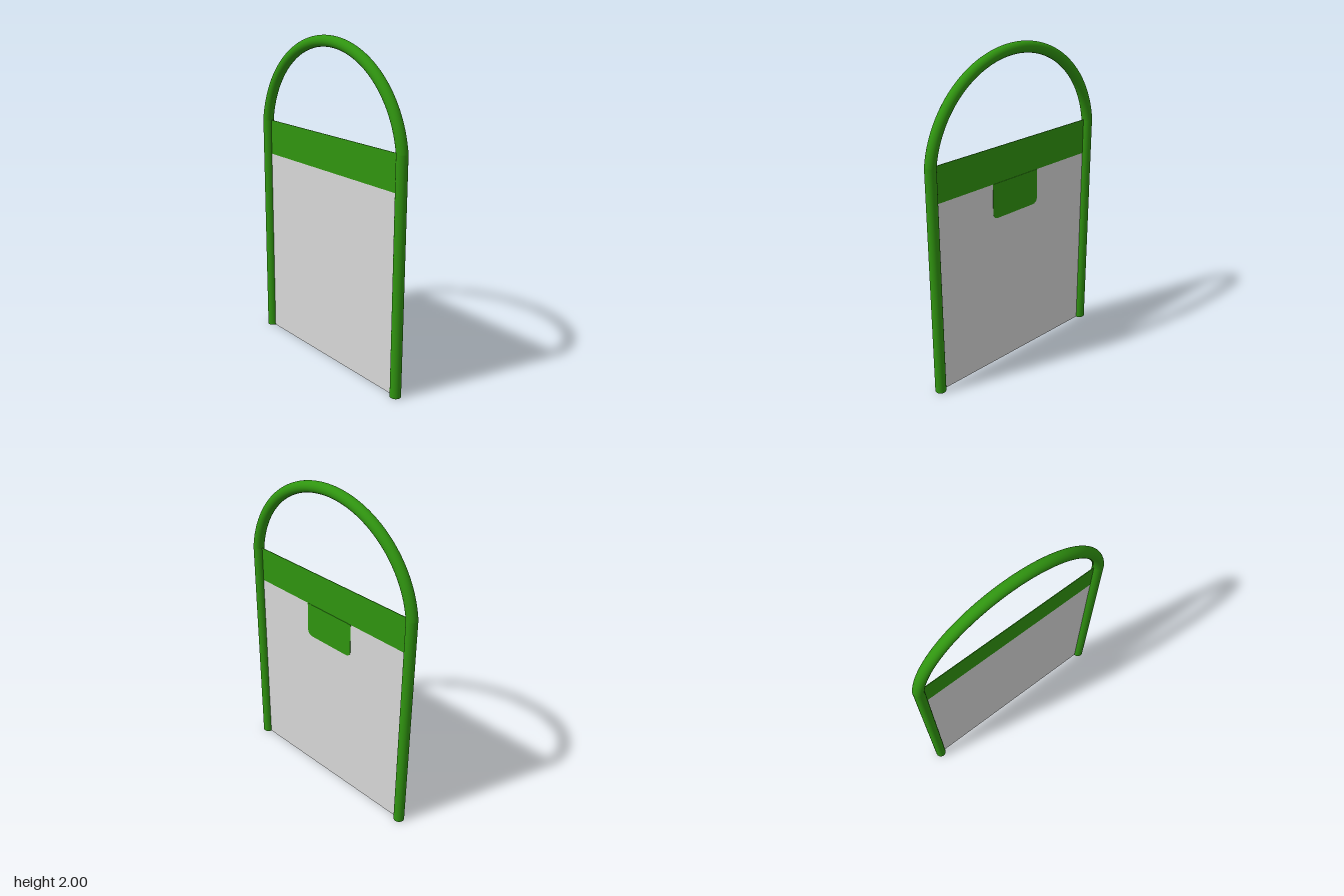
import * as THREE from 'three';

const TUBE = 0.033;      // tube radius
const POST_X = 0.616;    // post centre line
const PANEL_TOP = 1.43;
const BAND_BOTTOM = 1.21;
const ARCH_TOP = 1.967;  // centre line of the arch crown
const THICK = 0.004;

export function createModel() {
  const group = new THREE.Group();
  const green = new THREE.MeshStandardMaterial({ color: 0x309510 });
  green.name = 'frame green';
  const grey = new THREE.MeshStandardMaterial({ color: 0xd9d9d9 });
  grey.name = 'panel grey';

  const add = (name, geometry, material, x = 0, y = 0, z = 0) => {
    const mesh = new THREE.Mesh(geometry, material);
    mesh.name = name;
    mesh.position.set(x, y, z);
    group.add(mesh);
    return mesh;
  };

  // Upright posts, with a round joint where the arch leans inward
  for (const [side, name] of [[1, 'left'], [-1, 'right']]) {
    add(name + 'Post', new THREE.CylinderGeometry(TUBE, TUBE, PANEL_TOP, 32), green, side * POST_X, PANEL_TOP / 2);
    add(name + 'Joint', new THREE.SphereGeometry(TUBE, 32, 16), green, side * POST_X, PANEL_TOP);
  }

  // Arch: circular arc through both post tops and the crown
  const rise = ARCH_TOP - PANEL_TOP;
  const radius = (POST_X ** 2 + rise ** 2) / (2 * rise);
  const centreY = ARCH_TOP - radius;
  const start = Math.asin((PANEL_TOP - centreY) / radius);
  const arch = new THREE.TorusGeometry(radius, TUBE, 32, 64, Math.PI - 2 * start);
  arch.rotateZ(start);
  add('arch', arch, green, 0, centreY);

  // Flat infill between the posts
  const width = 2 * POST_X;
  add('lowerPanel', new THREE.BoxGeometry(width, BAND_BOTTOM, THICK), grey, 0, BAND_BOTTOM / 2);
  add('upperBand', new THREE.BoxGeometry(width, PANEL_TOP - BAND_BOTTOM, THICK), green, 0, (PANEL_TOP + BAND_BOTTOM) / 2);

  // Tab on the back, hanging from the band with rounded lower corners
  const w = 0.178, bottom = 0.99, r = 0.035;
  const tab = new THREE.Shape();
  tab.moveTo(-w, BAND_BOTTOM);
  tab.lineTo(-w, bottom + r);
  tab.absarc(-w + r, bottom + r, r, Math.PI, Math.PI * 1.5, false);
  tab.absarc(w - r, bottom + r, r, Math.PI * 1.5, Math.PI * 2, false);
  tab.lineTo(w, BAND_BOTTOM);
  tab.closePath();
  const tabGeometry = new THREE.ExtrudeGeometry(tab, { depth: THICK / 2, bevelEnabled: false, curveSegments: 8 });
  add('backTab', tabGeometry, green, 0, 0, -THICK);

  return group;
}
